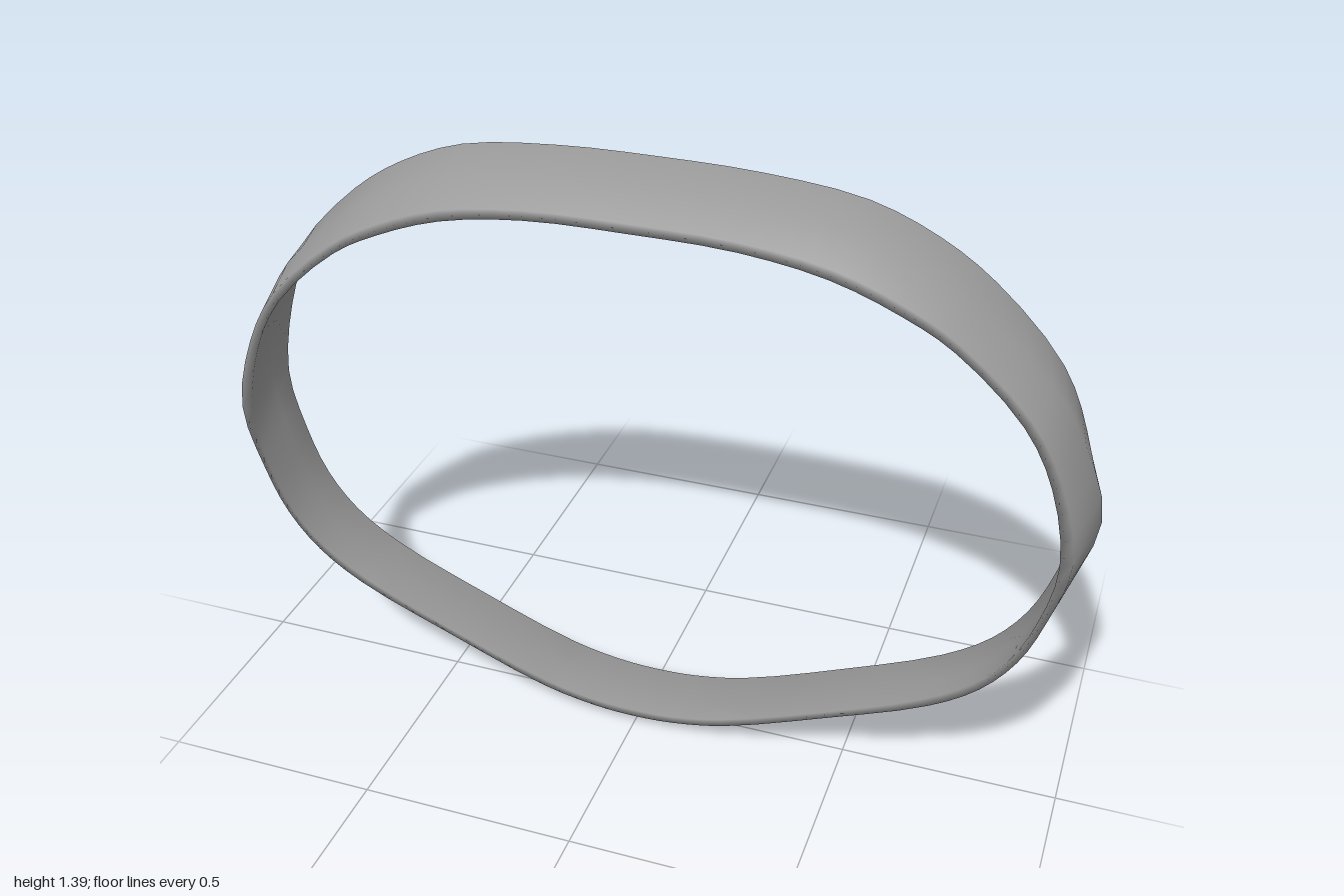
import * as THREE from 'three';

// Half outline from top to bottom: outer x, y and inner x, y
const HALF = [
  [0, 1.392, 0, 1.3], [0.23, 1.387, 0.23, 1.295], [0.45, 1.36, 0.42, 1.265],
  [0.6, 1.3, 0.57, 1.21], [0.72, 1.22, 0.68, 1.15], [0.88, 1.06, 0.83, 1.01],
  [0.95, 0.92, 0.9, 0.88], [1, 0.73, 0.937, 0.7], [0.95, 0.55, 0.91, 0.55],
  [0.905, 0.43, 0.86, 0.43], [0.83, 0.32, 0.79, 0.345], [0.73, 0.24, 0.68, 0.27],
  [0.5, 0.14, 0.46, 0.17], [0.24, 0.035, 0.22, 0.08], [0.1, 0.007, 0.1, 0.055],
  [0, 0, 0, 0.05],
];
const STEPS = 3; // rings per outline point

// Band sections as [z, t], t = 0 on the inner outline and 1 on the outer one
const TOP = [[0.1, 0.24], [0, 0.64], [-0.095, 1], [-0.1, 0.76], [0, 0.36], [0.1, 0]];
const SIDE = [[0.1, 0.42], [-0.05, 1], [-0.1, 0.7], [-0.1, 0.25], [-0.05, 0.5], [0.1, 0]];
const BOTTOM = [[0.08, 0.45], [0, 1], [-0.1, 0.85], [-0.1, 0.3], [0, 0.35], [0.085, 0]];

// Blend the sections by height around the loop
function sectionAt(y) {
  const up = THREE.MathUtils.smoothstep(y, 0.73, 1.25);
  const down = 1 - THREE.MathUtils.smoothstep(y, 0.05, 0.73);
  return SIDE.map((s, j) => s.map((v, k) =>
    v + up * (TOP[j][k] - v) + down * (BOTTOM[j][k] - v)));
}

function bandGeometry() {
  // Mirror the half outline into a closed loop and smooth it
  const mirrored = HALF.slice(1, -1).reverse().map(([a, b, c, d]) => [-a, b, -c, d]);
  const loop = [...HALF, ...mirrored];
  const curve = (k) => new THREE.CatmullRomCurve3(
    loop.map((p) => new THREE.Vector3(p[k], p[k + 1], 0)), true);
  const outer = curve(0), inner = curve(2);

  const n = loop.length * STEPS, m = SIDE.length;
  const positions = [], index = [];
  for (let i = 0; i < n; i++) {
    const o = outer.getPoint(i / n), p = inner.getPoint(i / n);
    sectionAt(o.y).forEach(([z, t], j) => {
      positions.push(p.x + (o.x - p.x) * t, p.y + (o.y - p.y) * t, z);
      const a = i * m + j, b = ((i + 1) % n) * m + j;
      const c = i * m + (j + 1) % m, d = ((i + 1) % n) * m + (j + 1) % m;
      index.push(a, b, c, b, d, c);
    });
  }
  const geometry = new THREE.BufferGeometry();
  geometry.setAttribute('position', new THREE.Float32BufferAttribute(positions, 3));
  geometry.setIndex(index);
  geometry.computeVertexNormals();
  return geometry;
}

export function createModel() {
  const group = new THREE.Group();
  group.name = 'ovalBand';
  // Thin closed band in dark grey, flared towards the back at the top
  const band = new THREE.Mesh(bandGeometry(), new THREE.MeshStandardMaterial({ color: 0x9a9a9a }));
  band.name = 'band';
  group.add(band);
  return group;
}
